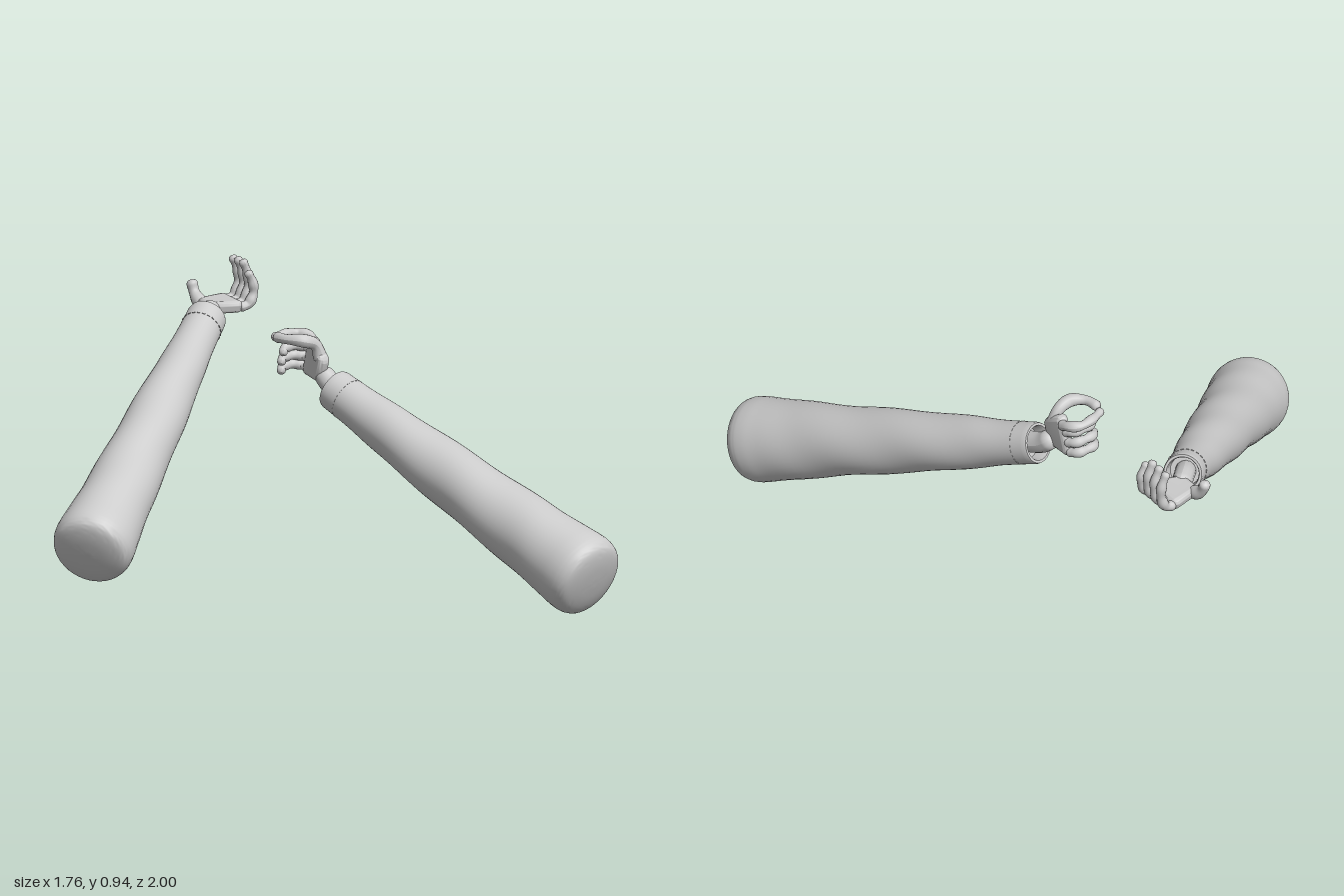
import * as THREE from 'three';
import { toCreasedNormals } from 'three/addons/utils/BufferGeometryUtils.js';
import { RoundedBoxGeometry } from 'three/addons/geometries/RoundedBoxGeometry.js';

const material = new THREE.MeshStandardMaterial({ color: 0xcccccc });
const V = (p) => new THREE.Vector3(...p);

function addMesh(parent, name, geometry) {
  const mesh = new THREE.Mesh(geometry, material);
  mesh.name = name;
  parent.add(mesh);
  return mesh;
}

// Swept round limb with tapered radius, rounded ends and slight joint swellings
function limb(points, r0, r1, joints = 0) {
  const curve = new THREE.CatmullRomCurve3(points.map(V), false, 'centripetal');
  const segs = 36, sides = 14, length = curve.getLength();
  const geometry = new THREE.TubeGeometry(curve, segs, 1, sides, false);
  const pos = geometry.attributes.position, v = new THREE.Vector3();
  for (let i = 0; i <= segs; i++) {
    const t = i / segs, centre = curve.getPointAt(t);
    let r = THREE.MathUtils.lerp(r0, r1, t);
    if (joints) r *= 0.92 + 0.1 * Math.cos(2 * Math.PI * joints * t);
    const d = Math.min(t, 1 - t) * length;
    if (d < r) r *= Math.sqrt(1 - (1 - d / r) ** 2);
    r = Math.max(r, 0.0005);
    for (let j = 0; j <= sides; j++) {
      const k = i * (sides + 1) + j;
      v.fromBufferAttribute(pos, k).sub(centre).multiplyScalar(r).add(centre);
      pos.setXYZ(k, v.x, v.y, v.z);
    }
  }
  geometry.computeVertexNormals();
  return geometry;
}

// Long tapered sleeve with a domed upper end and an open, hemmed cuff
function sleeve(name, from, to, radius) {
  const group = new THREE.Group();
  group.name = name;
  const dir = V(to).sub(V(from)), L = dir.length();
  const outer = new THREE.SplineCurve([
    [0, -0.035], [0.5, -0.03], [0.85, -0.015], [0.98, 0.015], [1, 0.06], [0.96, 0.13], [0.89, 0.27],
    [0.81, 0.46], [0.755, 0.64], [0.69, 0.82], [0.61, 1.0], [0.53, 1.14], [0.5, 1.24], [0.49, L - 0.01],
  ].map(([r, y]) => new THREE.Vector2(r * radius, y))).getPoints(70);
  outer[0].x = 0;
  const inner = [[0.47, L], [0.41, L], [0.385, L - 0.01], [0.37, L - 0.05], [0, L - 0.05]]
    .map(([r, y]) => new THREE.Vector2(r * radius, y));
  const lathe = new THREE.LatheGeometry([...outer, ...inner], 40);

  // soft folds in the cloth
  const pos = lathe.attributes.position;
  for (let i = 0; i < pos.count; i++) {
    const x = pos.getX(i), y = pos.getY(i), z = pos.getZ(i);
    const fade = THREE.MathUtils.smoothstep(y, 0.1, 0.3) * (1 - THREE.MathUtils.smoothstep(y, 1.0, 1.2));
    const s = 1 + 0.02 * fade * Math.sin(y * 17 + 2 * Math.atan2(z, x));
    pos.setXYZ(i, x * s, y, z * s);
  }
  lathe.deleteAttribute('normal');
  lathe.deleteAttribute('uv');
  addMesh(group, 'sleeve', toCreasedNormals(lathe, 0.8));

  // stitching round the hem
  for (let i = 0; i < 24; i++) {
    const a = (i / 24) * Math.PI * 2, r = radius * 0.5;
    const stitch = addMesh(group, 'hemStitch', new THREE.BoxGeometry(0.011, 0.003, 0.003));
    stitch.position.set(Math.sin(a) * r, L - 0.07, Math.cos(a) * r);
    stitch.rotation.y = a;
  }
  group.position.set(...from);
  group.quaternion.setFromUnitVectors(new THREE.Vector3(0, 1, 0), dir.normalize());
  return group;
}

// Palm frame: x towards the fingers, y out of the palm, z across the knuckles
function palm(name, centre, forward, normal, size, fingerPath, rows) {
  const group = new THREE.Group();
  group.name = name;
  const box = new RoundedBoxGeometry(...size, 5, 0.021);
  const pos = box.attributes.position;
  for (let i = 0; i < pos.count; i++) {
    const t = pos.getX(i) / size[0] + 0.5, z = pos.getZ(i);
    const across = 2 * z / size[2];
    const w = 0.5 + 0.5 * Math.sin(Math.min(1, t * 1.5) * Math.PI / 2);
    // narrow at the wrist, gently cupped across
    pos.setXYZ(i, pos.getX(i) - 0.012 * across * across * t, pos.getY(i) + 0.007 * across * across, z * w);
  }
  box.computeVertexNormals();
  box.deleteAttribute('uv');
  box.deleteAttribute('normal');
  addMesh(group, 'palm', toCreasedNormals(box, 1.2));
  rows.forEach(([z, stretch]) => addMesh(group, 'finger',
    limb(fingerPath.map(([x, y]) => [x, y * stretch, z]), 0.021, 0.017, 3)));
  const x = V(forward).normalize(), y = V(normal).normalize();
  const z = new THREE.Vector3().crossVectors(x, y);
  group.quaternion.setFromRotationMatrix(new THREE.Matrix4().makeBasis(x, y, z));
  group.position.set(...centre);
  return group;
}

export function createModel() {
  const model = new THREE.Group();
  model.name = 'pairOfArms';

  // Arm on the -x side: open hand, palm up
  const openArm = new THREE.Group();
  openArm.name = 'openHandArm';
  openArm.add(sleeve('openArmSleeve', [-0.78, 0.22, 0.04], [0.1, 0.78, -0.8], 0.145));
  addMesh(openArm, 'wrist', limb([[0.05, 0.75, -0.75], [0.1, 0.78, -0.81], [0.16, 0.79, -0.87]], 0.038, 0.036));
  openArm.add(palm('openHand', [0.19, 0.79, -0.885], [1, 0, 0], [0, 1, 0], [0.14, 0.044, 0.155],
    [[0.045, 0], [0.085, 0.012], [0.105, 0.06], [0.101, 0.11], [0.08, 0.163]],
    [[-0.06, 0.98], [-0.02, 1], [0.02, 1], [0.06, 0.8]]));
  addMesh(openArm, 'thumb', limb(
    [[0.15, 0.785, -0.86], [0.14, 0.795, -0.93], [0.134, 0.825, -0.968], [0.13, 0.87, -0.985]], 0.03, 0.021, 2));
  model.add(openArm);

  // Arm on the +x side: thumb and forefinger pinched into a ring
  const pinchArm = new THREE.Group();
  pinchArm.name = 'pinchHandArm';
  pinchArm.add(sleeve('pinchArmSleeve', [0.74, 0.145, 0.92], [0.3, 0.63, -0.2], 0.152));
  addMesh(pinchArm, 'wrist', limb([[0.32, 0.61, -0.14], [0.295, 0.645, -0.22], [0.28, 0.69, -0.27]], 0.04, 0.037));
  pinchArm.add(palm('pinchHand', [0.275, 0.715, -0.285], [0, 0.34, -0.94], [-1, 0, 0], [0.13, 0.044, 0.155],
    [[0.04, 0], [0.078, 0.014], [0.088, 0.055], [0.078, 0.095], [0.045, 0.115]],
    [[0.015, 1], [-0.025, 1], [-0.063, 0.95]]));
  addMesh(pinchArm, 'forefinger', limb(
    [[0.28, 0.77, -0.31], [0.28, 0.79, -0.355], [0.25, 0.797, -0.385], [0.2, 0.8, -0.382], [0.135, 0.8, -0.355]],
    0.022, 0.017, 3));
  addMesh(pinchArm, 'thumb', limb(
    [[0.275, 0.72, -0.25], [0.25, 0.785, -0.25], [0.2, 0.805, -0.25], [0.155, 0.808, -0.285], [0.138, 0.805, -0.345]],
    0.028, 0.019, 2));
  model.add(pinchArm);

  return model;
}
